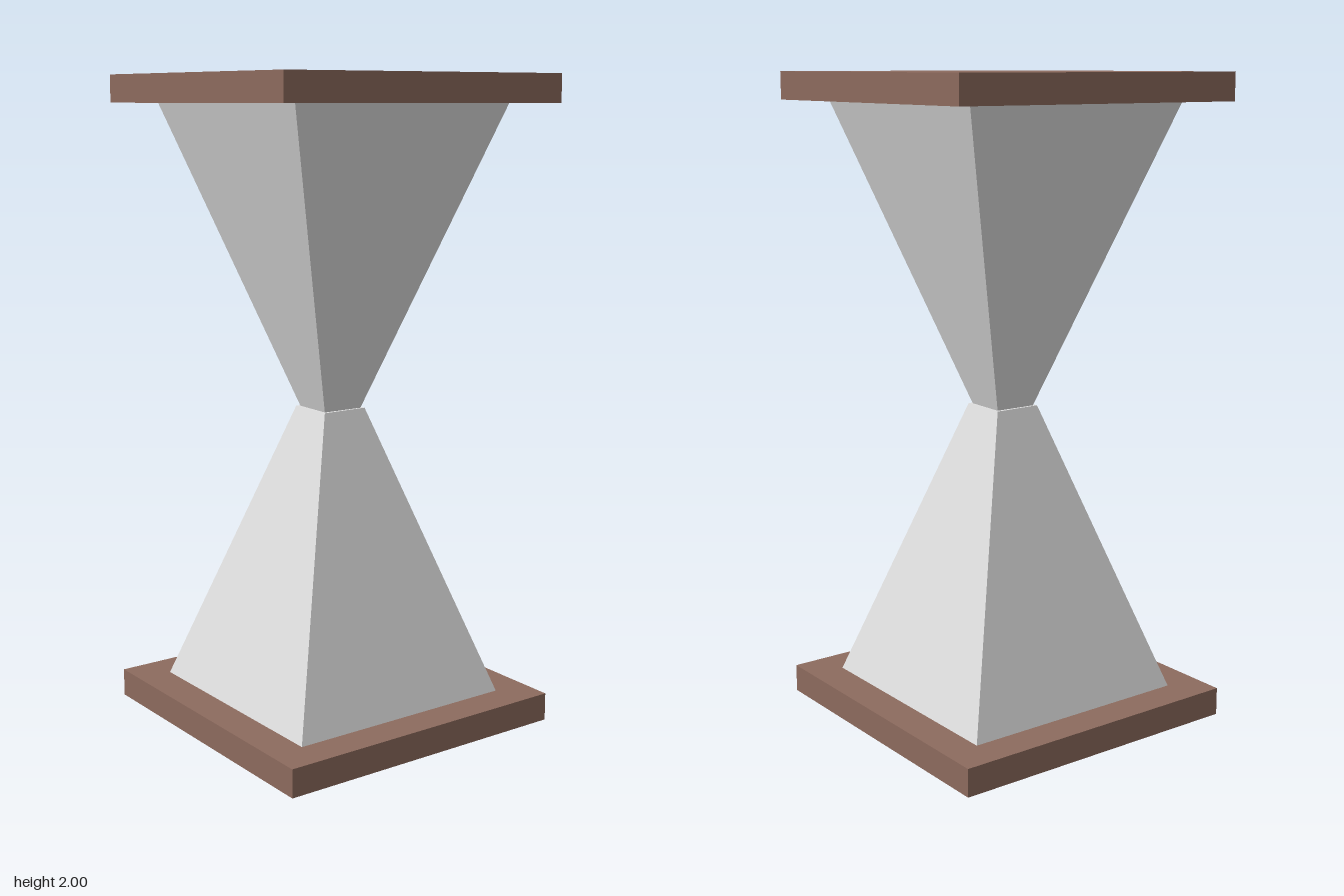
import * as THREE from 'three';

export function createModel() {
  const wood = new THREE.MeshStandardMaterial({ color: 0x8d6b5e });
  wood.name = 'brown wood';
  const glass = new THREE.MeshStandardMaterial({ color: 0xdfdfdf });
  glass.name = 'pale grey glass';

  // Square frustum between two heights, given half widths at each end
  const frustum = (name, material, y0, y1, halfBottom, halfTop) => {
    const geometry = new THREE.CylinderGeometry(
      halfTop * Math.SQRT2, halfBottom * Math.SQRT2, y1 - y0, 4, 1, false, Math.PI / 4
    ).toNonIndexed();
    geometry.computeVertexNormals(); // flat faces
    const mesh = new THREE.Mesh(geometry, material);
    mesh.name = name;
    mesh.position.y = (y0 + y1) / 2;
    return mesh;
  };

  // Square end plate
  const plate = (name, y0, y1) => {
    const mesh = new THREE.Mesh(new THREE.BoxGeometry(0.97, y1 - y0, 0.97), wood);
    mesh.name = name;
    mesh.position.y = (y0 + y1) / 2;
    return mesh;
  };

  // Each half is twisted a little about the vertical axis
  const lowerHalf = new THREE.Group();
  lowerHalf.name = 'lowerHalf';
  lowerHalf.rotation.y = 0.0035;
  lowerHalf.add(
    plate('bottomPlate', 0, 0.087),
    frustum('lowerBulb', glass, 0.087, 0.987, 0.375, 0.076)
  );

  const upperHalf = new THREE.Group();
  upperHalf.name = 'upperHalf';
  upperHalf.rotation.y = -0.0175;
  upperHalf.add(
    plate('topPlate', 1.915, 2),
    frustum('upperBulb', glass, 0.987, 1.915, 0.067, 0.378)
  );

  const model = new THREE.Group();
  model.name = 'hourglass';
  model.add(lowerHalf, upperHalf);
  return model;
}
